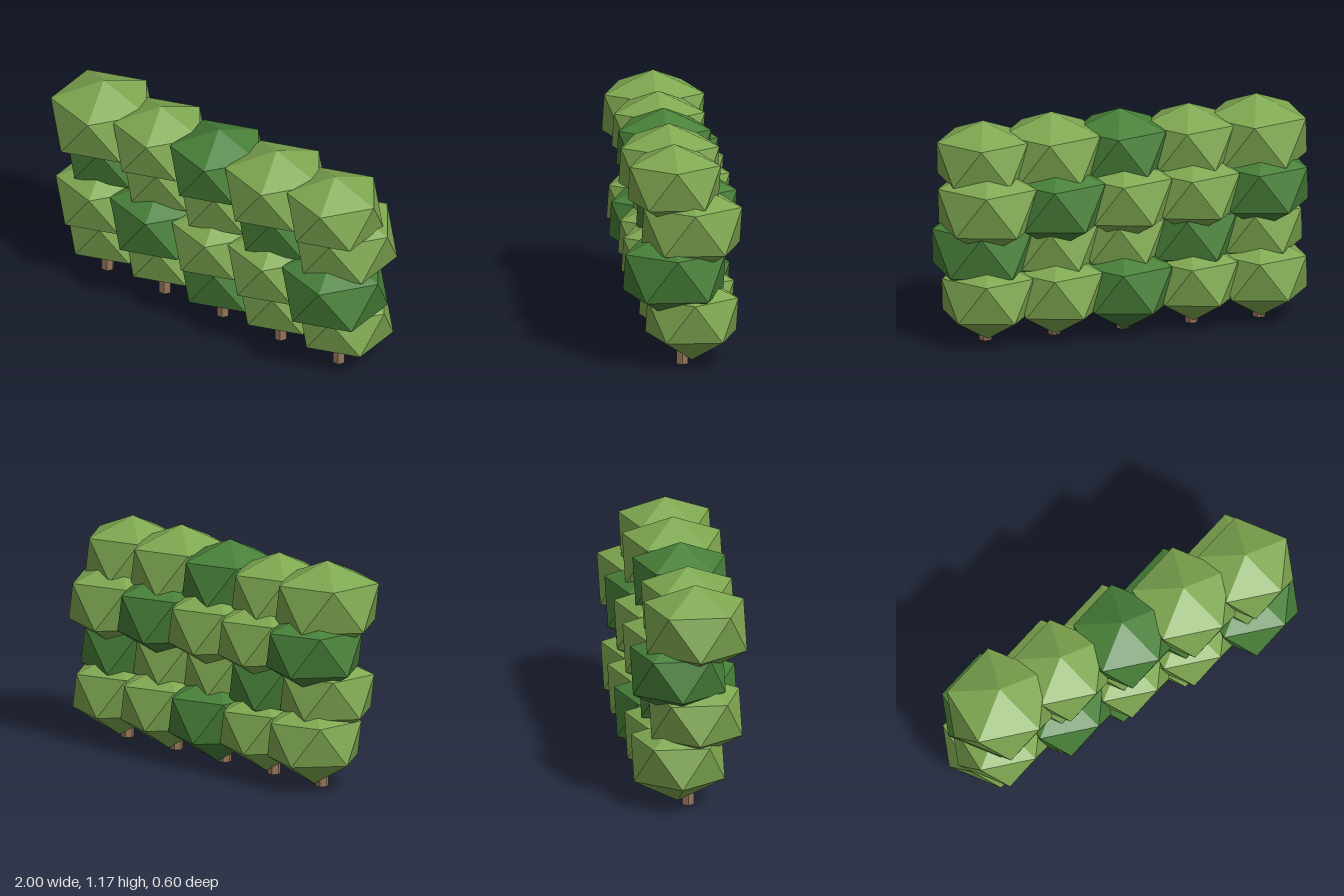
import * as THREE from 'three';
import { ConvexGeometry } from 'three/addons/geometries/ConvexGeometry.js';

// Faceted clump of leaves: two staggered five-sided rings between two poles
function clumpGeometry() {
  const points = [new THREE.Vector3(0, 0.82, 0), new THREE.Vector3(0, -0.97, 0)];
  for (let i = 0; i < 5; i++) {
    const a = (i / 5) * Math.PI * 2;
    const b = a + Math.PI / 5;
    points.push(new THREE.Vector3(Math.cos(a), 0.42, Math.sin(a)));
    points.push(new THREE.Vector3(Math.cos(b), -0.42, Math.sin(b)));
  }
  return new ConvexGeometry(points);
}

export function createModel() {
  const group = new THREE.Group();
  group.name = 'hedge';

  const material = (name, color) => {
    const m = new THREE.MeshStandardMaterial({ color, flatShading: true });
    m.name = name;
    return m;
  };
  const lightLeaf = material('light leaf green', 0x7fa851);
  const darkLeaf = material('dark leaf green', 0x488039);
  const bark = material('bark brown', 0x94745a);

  const columnX = [-0.73, -0.37, -0.005, 0.36, 0.725];

  // Rows from the ground up, stepping back and forth in depth
  const rows = [
    { y: 0.255, z: -0.05, dark: [2], radii: [0.245, 0.24, 0.255, 0.25, 0.245] },
    { y: 0.485, z: 0.04, dark: [1, 4], radii: [0.245, 0.26, 0.24, 0.25, 0.27] },
    { y: 0.725, z: -0.05, dark: [0, 3], radii: [0.25, 0.25, 0.255, 0.265, 0.265] },
    { y: 0.953, z: 0.04, dark: [2], radii: [0.27, 0.245, 0.25, 0.265, 0.245] },
  ];

  // Foliage
  const clump = clumpGeometry();
  rows.forEach((row, r) => {
    const layer = new THREE.Group();
    layer.name = `foliageRow${r + 1}`;
    row.radii.forEach((radius, c) => {
      const mesh = new THREE.Mesh(clump, row.dark.includes(c) ? darkLeaf : lightLeaf);
      mesh.name = `leafClump${c + 1}`;
      mesh.position.set(columnX[c], row.y, row.z);
      mesh.scale.setScalar(radius);
      layer.add(mesh);
    });
    group.add(layer);
  });

  // Trunks
  const trunk = new THREE.CylinderGeometry(0.034, 0.034, 0.24, 6);
  columnX.forEach((x, c) => {
    const mesh = new THREE.Mesh(trunk, bark);
    mesh.name = `trunk${c + 1}`;
    mesh.position.set(x - 0.004, 0.12, 0);
    mesh.rotation.y = Math.PI / 6;
    group.add(mesh);
  });

  return group;
}
